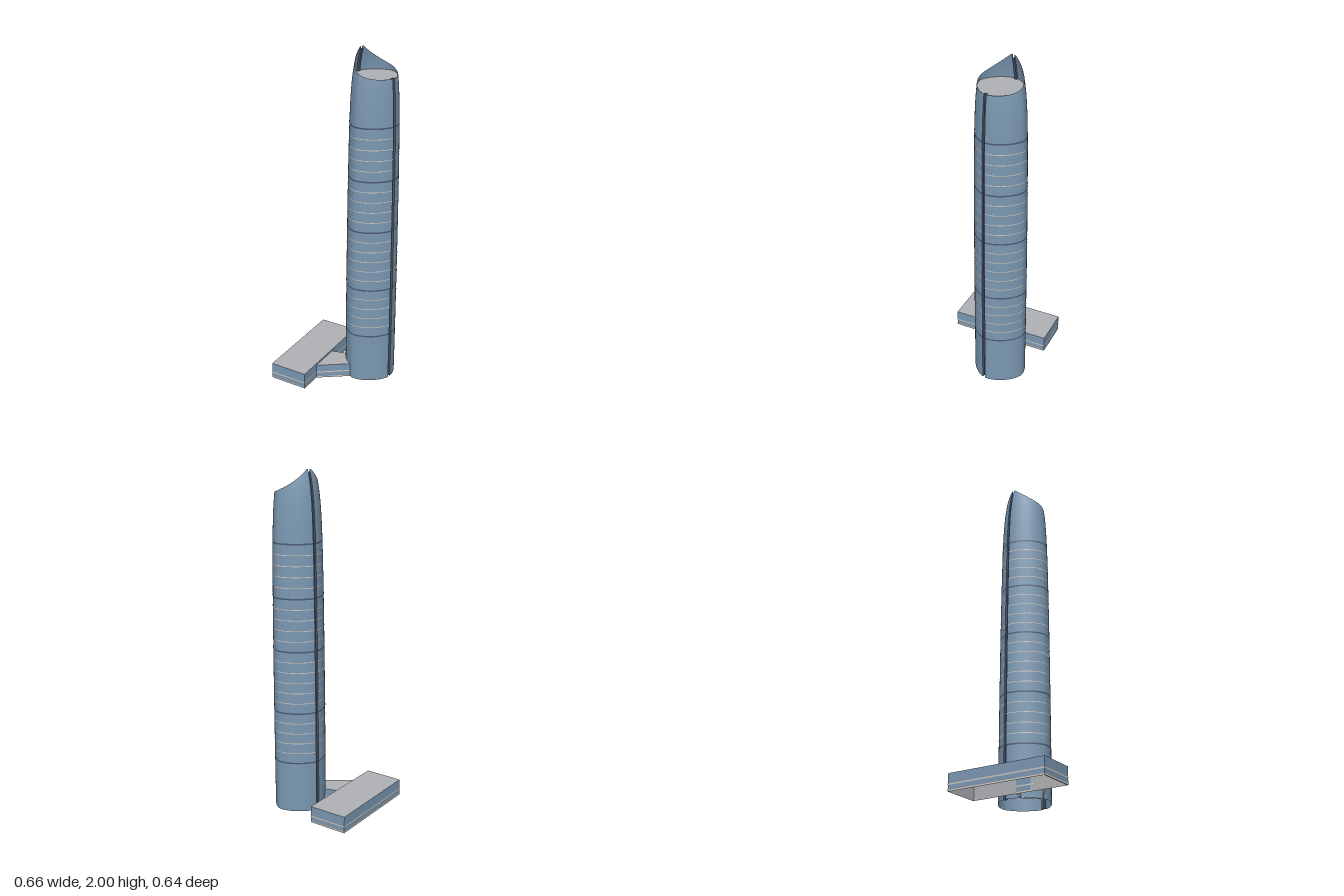
import * as THREE from 'three';

const HX = 0.164, HZ = 0.157;      // tower half width and half depth
const CX = 0.165, CZ = 0.163;      // tower centre
const POWER = 1.65;                // roundness of the plan outline
const SLOT = 0.009, SLOT_DEPTH = 0.015;
const ROOF_Y = 1.858, FLOOR = 0.0615;

const material = (name, color) =>
  new THREE.MeshStandardMaterial({ name, color, side: THREE.DoubleSide });

// Surface through a grid of points given by fn(u, v)
function grid(nu, nv, fn, flat = false) {
  const pos = [], index = [];
  for (let j = 0; j <= nv; j++)
    for (let i = 0; i <= nu; i++) pos.push(...fn(i / nu, j / nv));
  for (let j = 0; j < nv; j++)
    for (let i = 0; i < nu; i++) {
      const a = j * (nu + 1) + i, d = a + nu + 1;
      index.push(a, a + 1, d + 1, a, d + 1, d);
    }
  let g = new THREE.BufferGeometry();
  g.setAttribute('position', new THREE.Float32BufferAttribute(pos, 3));
  g.setIndex(index);
  if (flat) g = g.toNonIndexed();
  g.computeVertexNormals();
  return g;
}

// Taper of the tower by height
const taper = (y) => 1 - 0.12 * Math.pow(y / 2, 2.5) - 0.23 * Math.pow(y / 2, 16);

// Scooped crown: height of the cut by depth
function cut(z) {
  const u = Math.min(1, Math.max(0, (0.296 - z) / 0.233));
  return 1.865 + 0.135 * (1 - Math.sqrt(1 - u * u));
}

// Where a wall line with plan offset zo meets the crown cut
function topOf(zo) {
  let lo = 1.84, hi = 2;
  for (let k = 0; k < 30; k++) {
    const y = (lo + hi) / 2;
    if (y < cut(CZ + zo * taper(y))) lo = y; else hi = y;
  }
  return lo;
}

// Plan outline, angle measured from the front towards +x
function outline(a) {
  const f = (t) => Math.sign(t) * Math.pow(Math.abs(t), 2 / POWER);
  return [HX * f(Math.sin(a)), HZ * f(Math.cos(a))];
}

const at = ([xo, zo], y, grow = 0) => {
  const s = taper(y) + grow;
  return [CX + xo * s, y, CZ + zo * s];
};

export function createModel() {
  const model = new THREE.Group();
  model.name = 'towerWithPodium';
  const glass = material('blueGlass', 0x7b98b2);
  const dark = material('darkRecess', 0x4c5b70);
  const grey = material('greyRoof', 0xb0b2b5);
  const pale = material('paleTrim', 0xd6c9bd);

  const add = (name, geometry, mat, parent = model) => {
    const mesh = new THREE.Mesh(geometry, mat);
    mesh.name = name;
    parent.add(mesh);
    return mesh;
  };

  // Tower: two curved shells split by slots at front and back
  const tower = new THREE.Group();
  tower.name = 'tower';
  model.add(tower);
  const a0 = Math.asin(Math.pow(SLOT / HX, POWER / 2));
  for (const [side, start] of [['left', 0], ['right', Math.PI]]) {
    const angle = (u) => start + a0 + u * (Math.PI - 2 * a0);
    add(side + 'Shell', grid(48, 48, (u, v) => {
      const p = outline(angle(u));
      return at(p, topOf(p[1]) * (1 - Math.pow(1 - v, 1.5)));
    }), glass, tower);

    // Floor lines, with a darker ring at each mechanical floor
    for (let k = 5; k <= 26; k++) {
      const ring = [5, 10, 16, 21, 26].includes(k);
      const h = ring ? 0.009 : 0.004;
      add(side + (ring ? 'DarkRing' : 'FloorLine'), grid(40, 1, (u, v) =>
        at(outline(angle(u)), k * FLOOR + (v - 0.5) * h, 0.007)),
      ring ? dark : pale, tower);
    }
  }

  // Slots: U-shaped channels running the full height
  const edge = Math.abs(outline(a0)[1]);
  const channel = [[-SLOT, 0], [-SLOT, -SLOT_DEPTH], [SLOT, -SLOT_DEPTH], [SLOT, 0]];
  for (const [name, s] of [['frontSlot', 1], ['backSlot', -1]])
    add(name, grid(3, 40, (u, v) => {
      const [x, d] = channel[Math.round(u * 3)];
      const p = [s * x, s * (edge + d)];
      return at(p, topOf(p[1]) * (1 - Math.pow(1 - v, 1.5)));
    }, true), dark, tower);

  // Flat roof set inside the crown
  add('towerRoof', grid(64, 1, (u, v) => {
    const [x, z] = outline(u * Math.PI * 2);
    const s = taper(ROOF_Y) * 0.985 * (1 - v);
    return [CX + x * s, ROOF_Y, CZ + z * s];
  }), grey, tower);

  // Low buildings: glazed walls, grey lining, flat roof, open underneath
  function lowBuilding(name, corners, height) {
    const group = new THREE.Group();
    group.name = name;
    model.add(group);
    const n = corners.length;
    const mx = corners.reduce((t, c) => t + c[0], 0) / n;
    const mz = corners.reduce((t, c) => t + c[1], 0) / n;
    const band = (y0, y1, scale) => grid(n, 1, (u, v) => {
      const [x, z] = corners[Math.round(u * n) % n];
      return [mx + (x - mx) * scale, y0 + (y1 - y0) * v, mz + (z - mz) * scale];
    }, true);
    add(name + 'Walls', band(0, height, 1), glass, group);
    add(name + 'Lining', band(0, height - 0.002, 0.985), grey, group);
    for (const y of [0.036, 0.002])
      add(name + 'Stripe', band(y, y + 0.007, 1.005), pale, group);
    const shape = new THREE.Shape(corners.map(([x, z]) => new THREE.Vector2(x, -z)));
    const roof = new THREE.ShapeGeometry(shape).rotateX(-Math.PI / 2);
    add(name + 'Roof', roof.translate(0, height, 0), grey, group);
  }
  lowBuilding('podium', [[-0.28, 0.04], [0.305, -0.095], [0.252, -0.322], [-0.331, -0.185]], 0.1);
  lowBuilding('connector', [[-0.15, 0.01], [0.008, 0.148], [0.078, 0.05], [0.03, -0.035]], 0.088);

  return model;
}
